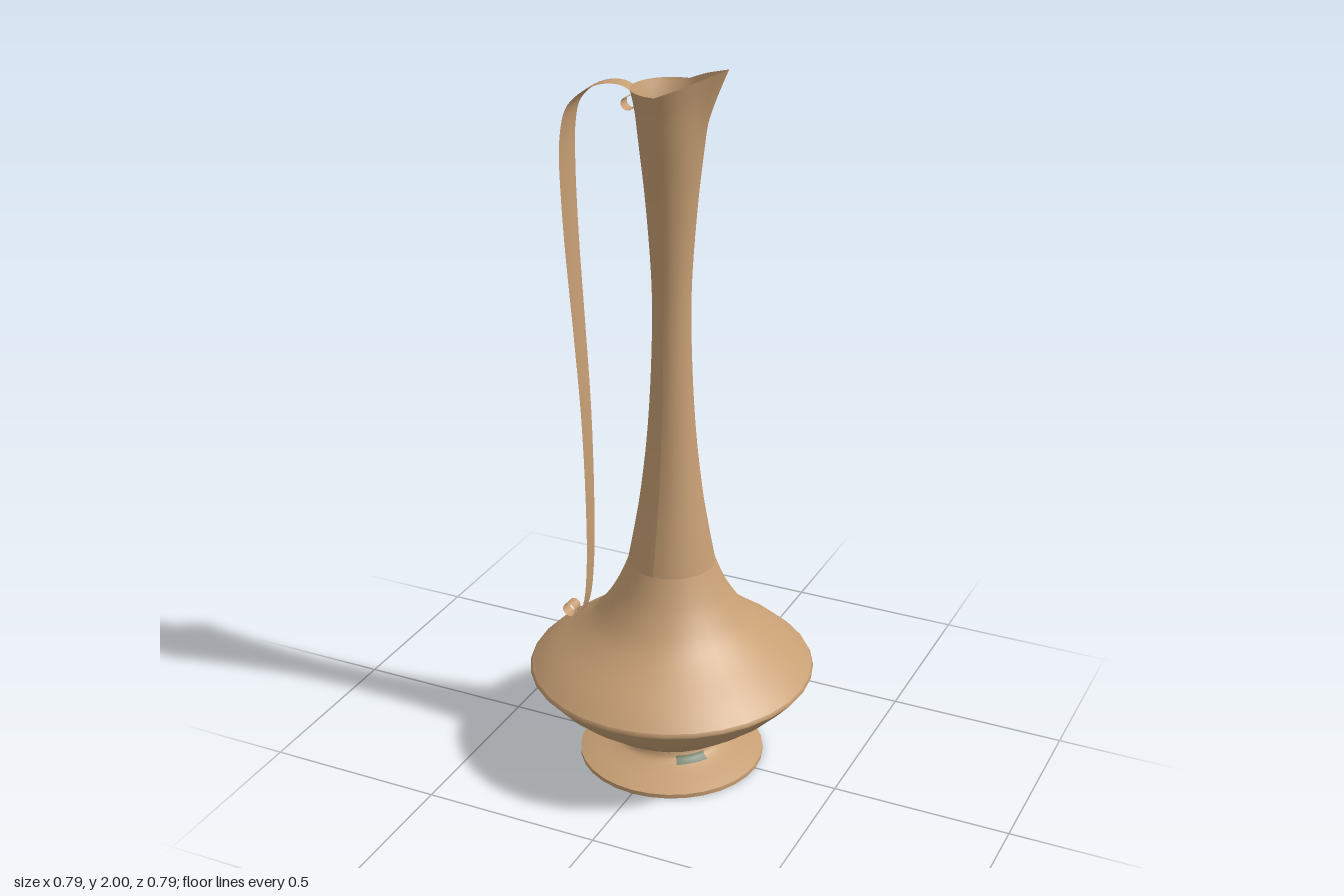
import * as THREE from 'three';

const clay = new THREE.MeshStandardMaterial({ color: 0xc79f74, side: THREE.DoubleSide });
clay.name = 'warm tan';
const green = new THREE.MeshStandardMaterial({ color: 0x66755c, side: THREE.DoubleSide });
green.name = 'dull green';

const SIDES = 32;
const v2 = (p) => new THREE.Vector2(p[0], p[1]);

// Turned surface through [radius, height] points, optionally smoothed
function turned(name, pts, mat = clay, smooth = 0, start = 0, sweep = Math.PI * 2, sides = SIDES) {
  let profile = pts.map(v2);
  if (smooth) profile = new THREE.SplineCurve(profile).getPoints(smooth);
  const mesh = new THREE.Mesh(new THREE.LatheGeometry(profile, sides, start, sweep), mat);
  mesh.name = name;
  return mesh;
}

// Pull the mouth into a pointed, raised pouring lip on the +x side
function pullSpout(mesh) {
  const pos = mesh.geometry.attributes.position;
  const reach = Math.acos(0.105 / 0.155);
  for (let i = 0; i < pos.count; i++) {
    const x = pos.getX(i), y = pos.getY(i), z = pos.getZ(i);
    const t = THREE.MathUtils.clamp((y - 1.76) / 0.175, 0, 1);
    const a = Math.abs(Math.atan2(z, x));
    const stretch = a < reach ? Math.cos(0) / Math.cos(reach - a) : 1;
    const k = 1 + (stretch - 1) * t * t;
    const lift = 0.065 * t * t * Math.max(0, x * k) / 0.155;
    pos.setXYZ(i, x * k, y + lift, z * k);
  }
  mesh.geometry.computeVertexNormals();
  return mesh;
}

// Dished ribbon swept along a path in the xy plane; rows are [x, y, halfWidth]
function ribbon(name, rows) {
  const path = new THREE.CatmullRomCurve3(rows.map(([x, y]) => new THREE.Vector3(x, y, 0)), false, 'centripetal');
  const steps = (rows.length - 1) * 4, across = 6;
  const pos = [], idx = [];
  for (let i = 0; i <= steps; i++) {
    const u = i / steps, f = u * (rows.length - 1);
    const j = Math.min(Math.floor(f), rows.length - 2);
    const half = THREE.MathUtils.lerp(rows[j][2], rows[j + 1][2], f - j);
    const p = path.getPoint(u), t = path.getTangent(u);
    for (let k = 0; k <= across; k++) {
      const s = (k / across) * 2 - 1;
      const dish = Math.max(0, half - 0.02) * 0.45 * s * s;
      pos.push(p.x - t.y * -dish, p.y + t.x * dish, s * half);
      if (i < steps && k < across) {
        const a = i * (across + 1) + k, b = a + across + 1;
        idx.push(a, a + 1, b, b, a + 1, b + 1);
      }
    }
  }
  const g = new THREE.BufferGeometry();
  g.setAttribute('position', new THREE.Float32BufferAttribute(pos, 3));
  g.setIndex(idx);
  g.computeVertexNormals();
  const mesh = new THREE.Mesh(g, clay);
  mesh.name = name;
  return mesh;
}

// Points of a small curl, from angle a0 to a1 in degrees
function curl(cx, cy, a0, a1, r0, r1, half) {
  const rows = [];
  for (let i = 0; i <= 10; i++) {
    const a = THREE.MathUtils.degToRad(THREE.MathUtils.lerp(a0, a1, i / 10));
    const r = THREE.MathUtils.lerp(r0, r1, i / 10);
    rows.push([cx + r * Math.cos(a), cy + r * Math.sin(a), half]);
  }
  return rows;
}

export function createModel() {
  const model = new THREE.Group();
  model.name = 'ewer';

  // Foot
  model.add(
    turned('footUnderside', [[0, 0], [0.26, 0]]),
    turned('footEdge', [[0.26, 0], [0.26, 0.012]]),
    turned('foot', [[0.26, 0.012], [0.225, 0.025], [0.18, 0.04], [0.15, 0.055], [0.142, 0.075]], clay, 12),
    turned('footPatch', [[0.168, 0.048], [0.154, 0.056], [0.149, 0.066]], green, 0, 0.52, 0.55, 8)
  );

  // Belly, widest rim and shoulder
  model.add(
    turned('footJoint', [[0.142, 0.075], [0.132, 0.08]]),
    turned('belly', [[0.132, 0.075], [0.19, 0.105], [0.26, 0.155], [0.335, 0.215], [0.392, 0.277]], clay, 16),
    turned('bellyRim', [[0.392, 0.277], [0.397, 0.284], [0.392, 0.293]]),
    turned('shoulder', [[0.392, 0.293], [0.345, 0.335], [0.265, 0.395], [0.21, 0.445], [0.165, 0.51],
      [0.138, 0.565], [0.12, 0.61]], clay, 24)
  );

  // Neck with its pouring lip
  const rim = 0.105;
  model.add(pullSpout(turned('neck', [[0.12, 0.61], [0.1, 0.72], [0.083, 0.83], [0.065, 1.0], [0.054, 1.2],
    [0.052, 1.4], [0.066, 1.62], [0.085, 1.8], [0.094, 1.88], [rim, 1.935]], clay, 48)));

  // Hollow inside
  model.add(
    pullSpout(turned('mouthLining', [[rim, 1.935], [0.089, 1.88], [0.08, 1.8], [0.063, 1.65]], clay, 20)),
    turned('throatLining', [[0.063, 1.65], [0.043, 1.4], [0.042, 1.2]], green, 12),
    turned('insideFloor', [[0.13, 0.09], [0, 0.09]])
  );

  // Handle with a curl at each end
  model.add(ribbon('handle', [
    ...curl(-0.117, 1.886, 90, 370, 0.015, 0.02, 0.018),
    [-0.102, 1.915, 0.019], [-0.13, 1.933, 0.022], [-0.18, 1.935, 0.028], [-0.23, 1.912, 0.034],
    [-0.268, 1.87, 0.039], [-0.284, 1.8, 0.043], [-0.287, 1.7, 0.045], [-0.281, 1.5, 0.041],
    [-0.266, 1.25, 0.035], [-0.252, 1.0, 0.03], [-0.247, 0.75, 0.026], [-0.25, 0.55, 0.023],
    [-0.262, 0.43, 0.021], [-0.278, 0.383, 0.02], [-0.295, 0.366, 0.02],
    ...curl(-0.313, 0.384, 270, -30, 0.02, 0.017, 0.019)
  ]));

  return model;
}
